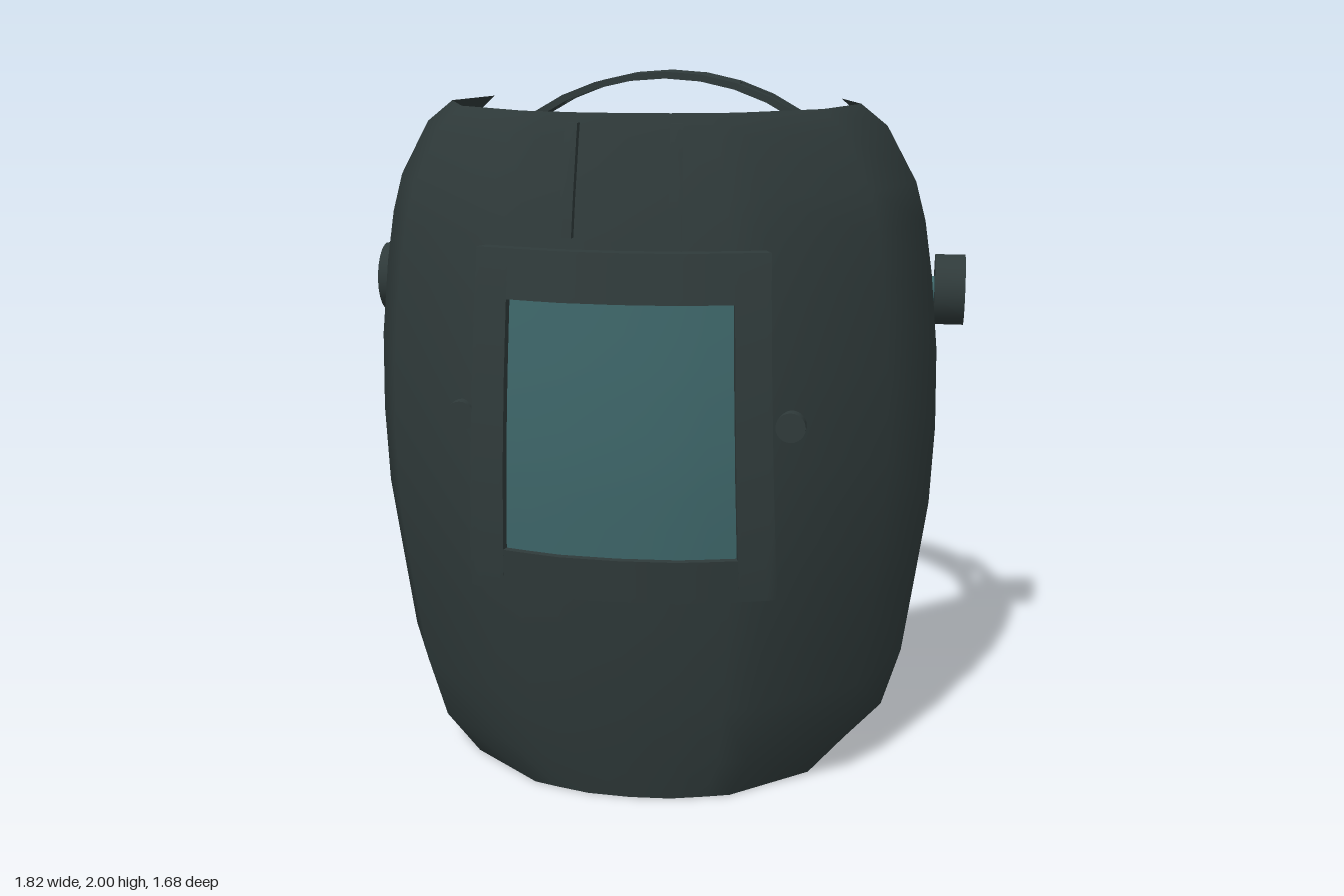
import * as THREE from 'three';
import { RoundedBoxGeometry } from 'three/addons/geometries/RoundedBoxGeometry.js';

const charcoalShell = new THREE.MeshStandardMaterial({ color: 0x2f3a3a, side: THREE.DoubleSide });
charcoalShell.name = 'charcoalShell';
const charcoal = charcoalShell;
const teal = new THREE.MeshStandardMaterial({ color: 0x3d6568 });
teal.name = 'tealGlass';
const red = new THREE.MeshStandardMaterial({ color: 0x9a2a2a });
red.name = 'redDial';

// Shell rows: height, half width, front z, back z
const ROWS = [
  [0, .59, .66, -.065], [.12, .70, .69, -.08], [.3, .755, .73, -.1], [.55, .79, .772, -.118],
  [.77, .82, .795, -.126], [1, .83, .80, -.13], [1.23, .825, .788, -.126], [1.45, .803, .765, -.118],
  [1.6, .78, .738, -.108], [1.71, .75, .718, -.098], [1.865, .665, .68, -.075], [1.925, .59, .66, -.065]];
// Half of the shell's plan: share of the half width, share of the depth
const PLAN = [[.89, 0], [1, .34], [.84, .68], [.48, .925], [.36, .955], [.2, .99], [0, 1]];
const WINDOW = { x: .3, low: .77, high: 1.45 };
const lerp = THREE.MathUtils.lerp;

function rowAt(y) {
  let j = 0;
  while (j < ROWS.length - 2 && y > ROWS[j + 1][0]) j++;
  const t = (y - ROWS[j][0]) / (ROWS[j + 1][0] - ROWS[j][0]);
  return ROWS[j].map((v, k) => lerp(v, ROWS[j + 1][k], t));
}

// Depth of the shell's front at a given x and y
function shellZ(x, y) {
  const [, w, zf, zb] = rowAt(y);
  const a = Math.abs(x) / w;
  let i = PLAN.length - 1;
  while (i > 2 && a > PLAN[i - 1][0]) i--;
  const t = (a - PLAN[i][0]) / (PLAN[i - 1][0] - PLAN[i][0]);
  return lerp(zb, zf, lerp(PLAN[i][1], PLAN[i - 1][1], t));
}

// Curved mask open at the top, bottom and back, with a window opening
function shellGeometry() {
  const plan = [...PLAN, ...PLAN.slice(0, -1).reverse().map(([a, b]) => [-a, b])];
  const n = plan.length, pos = [], index = [];
  for (const [y, w, zf, zb] of ROWS) {
    for (const [a, b] of plan) {
      const inWindow = y >= WINDOW.low && y <= WINDOW.high;
      const x = Math.abs(a) === .36 && inWindow ? Math.sign(a) * WINDOW.x : a * w;
      pos.push(x, y, lerp(zb, zf, b));
    }
  }
  for (let j = 0; j < ROWS.length - 1; j++) {
    for (let i = 0; i < n - 1; i++) {
      const rowOpen = ROWS[j][0] >= WINDOW.low && ROWS[j + 1][0] <= WINDOW.high;
      const columnOpen = Math.abs(plan[i][0]) <= .36 && Math.abs(plan[i + 1][0]) <= .36;
      if (rowOpen && columnOpen) continue;
      const a = j * n + i, d = a + n;
      index.push(a, d, d + 1, a, d + 1, a + 1);
    }
  }
  const g = new THREE.BufferGeometry();
  g.setAttribute('position', new THREE.Float32BufferAttribute(pos, 3));
  g.setIndex(index);
  g.computeVertexNormals();
  return g;
}

// Box bent onto the shell; inner and outer are offsets from its surface, lean shifts x with height
function shellPlate(x0, x1, y0, y1, inner, outer, lean) {
  const g = new THREE.BoxGeometry(1, 1, 1, 8, 8, 1);
  const p = g.attributes.position;
  for (let i = 0; i < p.count; i++) {
    const y = lerp(y0, y1, p.getY(i) + .5);
    const x = lerp(x0, x1, p.getX(i) + .5) * (1 - lean * (y - .65));
    const off = lerp(inner, outer, p.getZ(i) + .5);
    const slope = (shellZ(x + .08, y) - shellZ(x - .08, y)) / .16;
    const len = Math.hypot(slope, 1);
    p.setXYZ(i, x - slope / len * off, y, shellZ(x, y) + off / len);
  }
  g.computeVertexNormals();
  return g;
}

// Flat band bent round an ellipse, from angle a0 to a1, spanning z0 to z1
function bandGeometry(rx, ry, a0, a1, z0, z1, thick) {
  const segments = Math.max(2, Math.round((a1 - a0) / (Math.PI / 20)));
  const g = new THREE.BoxGeometry(1, 1, 1, segments, 1, 1);
  const p = g.attributes.position;
  for (let i = 0; i < p.count; i++) {
    const a = lerp(a1, a0, p.getX(i) + .5), r = (p.getY(i) - .5) * thick;
    p.setXYZ(i, (rx + r) * Math.cos(a), (ry + r) * Math.sin(a), lerp(z0, z1, p.getZ(i) + .5));
  }
  g.computeVertexNormals();
  return g;
}

export function createModel() {
  const model = new THREE.Group();
  model.name = 'weldingHelmet';
  const add = (name, geometry, material, x = 0, y = 0, z = 0) => {
    const m = new THREE.Mesh(geometry, material);
    m.name = name;
    m.position.set(x, y, z);
    model.add(m);
    return m;
  };
  const disc = (axis, r, length) => {
    const g = new THREE.CylinderGeometry(r, r, length, 24);
    return axis === 'x' ? g.rotateZ(Math.PI / 2) : g.rotateX(Math.PI / 2);
  };

  add('shell', shellGeometry(), charcoalShell);

  // Window frame and glass
  add('frameTop', shellPlate(-.31, .31, 1.45, 1.58, -.005, .04, .08), charcoal);
  add('frameBottom', shellPlate(-.31, .31, .65, .77, -.005, .04, .08), charcoal);
  add('glass', shellPlate(-.315, .315, .76, 1.46, .012, .02, .06), teal);

  for (const s of [1, -1]) {
    const side = s > 0 ? 'left' : 'right';
    const ends = (a, b) => (s > 0 ? [a, b] : [-b, -a]);
    add(side + 'FrameSide', shellPlate(...ends(.31, .4), .65, 1.58, -.005, .04, .08), charcoal);
    add(side + 'Rib', shellPlate(...ends(.15, .19), 1.61, 1.9, -.025, .02, .17), charcoal);
    add(side + 'FrameBolt', disc('z', .04, .035), charcoal, s * .445, 1.12, .705);

    // Pivot: shaft, inner washer and outer knob
    add(side + 'PivotShaft', disc('x', .04, .18), teal, s * .76, 1.35, -.14);
    add(side + 'PivotWasher', disc('x', .107, .06), charcoal, s * .76, 1.35, -.14);
    add(side + 'PivotKnob', disc('x', .107, .09), charcoal, s * .863, 1.35, -.14);
  }

  // Headband round the head with a brow pad
  const headband = bandGeometry(.69, .57, Math.PI / 2, Math.PI * 2.5, -.05, .05, .025);
  add('headband', headband.rotateX(Math.PI / 2), charcoal, 0, 1.35, -.14);
  add('browPad', new RoundedBoxGeometry(.54, .13, .085, 2, .02), charcoal, 0, 1.35, .44);

  // Crown strap: two rails joined by webs that leave slots between them
  const strap = (name, from, to, z0, z1) => add(name,
    bandGeometry(.69, .65, THREE.MathUtils.degToRad(from), THREE.MathUtils.degToRad(to), z0, z1, .02),
    charcoal, 0, 1.35, 0);
  strap('strapFrontRail', 0, 180, -.1, -.05);
  strap('strapBackRail', 0, 180, -.215, -.175);
  for (const [from, to] of [[0, 27], [36, 61], [71.5, 108.5], [119, 144], [153, 180]]) {
    strap('strapWeb', from, to, -.175, -.1);
  }

  // Rear adjuster
  add('adjusterBase', new RoundedBoxGeometry(.3, .155, .075, 2, .02), charcoal, 0, 1.35, -.717);
  add('adjusterDial', disc('z', .103, .065), red, 0, 1.35, -.772);
  add('adjusterCap', disc('z', .075, .05), charcoal, 0, 1.35, -.825);

  return model;
}
